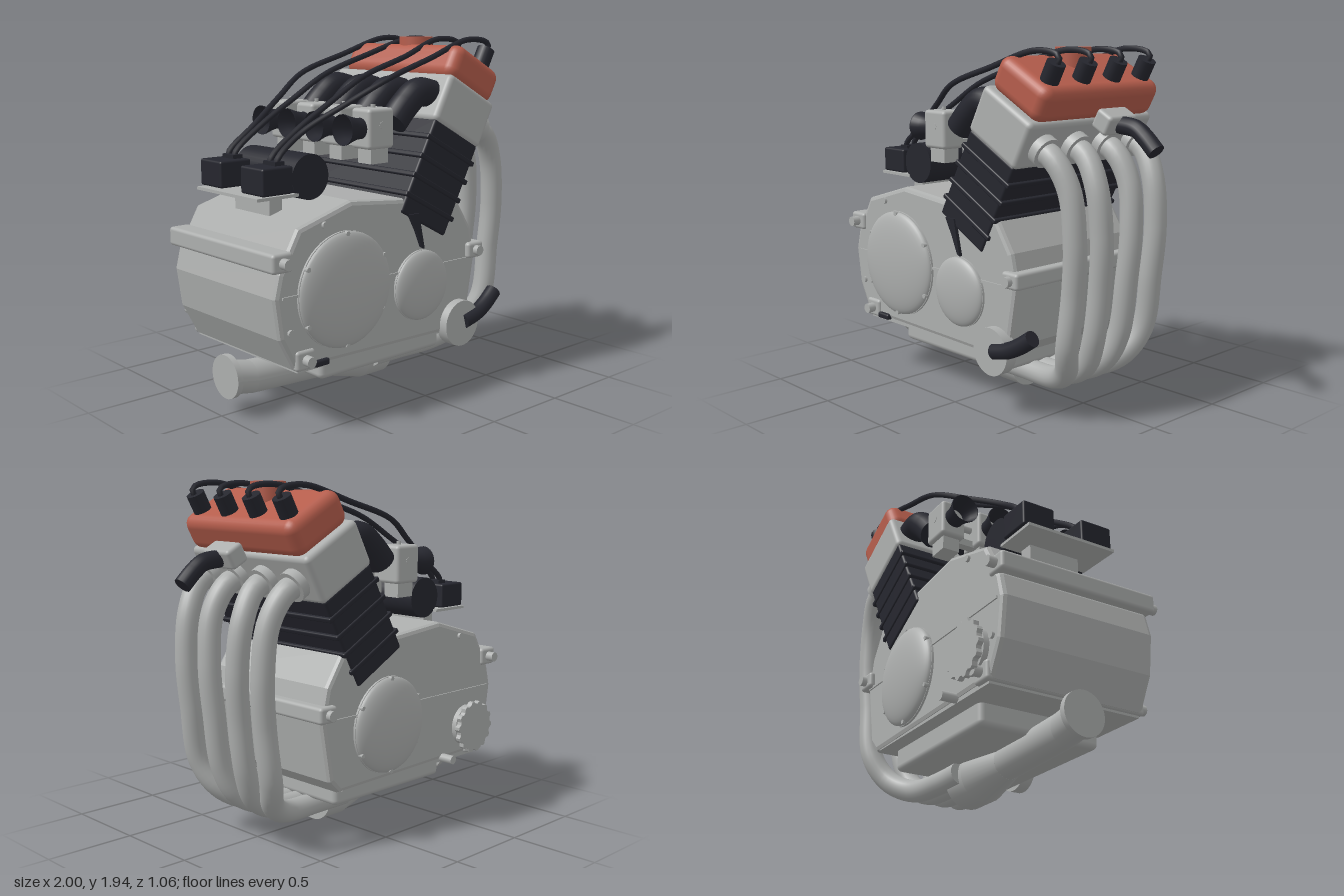
import * as THREE from 'three';
import { RoundedBoxGeometry } from 'three/addons/geometries/RoundedBoxGeometry.js';

const mat = (name, color, side = THREE.FrontSide) =>
  Object.assign(new THREE.MeshStandardMaterial({ color, side }), { name });

export function createModel() {
  const metal = mat('cast metal', 0xadafae);
  const black = mat('black rubber', 0x25262e, THREE.DoubleSide);
  const red = mat('red paint', 0xb55d4c);
  const engine = new THREE.Group();
  engine.name = 'engine';
  const V = (x, y, z) => new THREE.Vector3(x, y, z);

  const add = (name, geo, material, x = 0, y = 0, z = 0, parent = engine) => {
    const m = new THREE.Mesh(geo, material);
    m.name = name;
    m.position.set(x, y, z);
    parent.add(m);
    return m;
  };
  const box = (w, h, d, r = 0) => r ? new RoundedBoxGeometry(w, h, d, 3, r) : new THREE.BoxGeometry(w, h, d);
  const cylZ = (r, len, n = 24) => new THREE.CylinderGeometry(r, r, len, n).rotateX(Math.PI / 2);
  // Tube through points with flat end caps
  const hose = (name, pts, r, material, n = 32, sides = 14) => {
    const curve = new THREE.CatmullRomCurve3(pts, false, 'centripetal');
    add(name, new THREE.TubeGeometry(curve, n, r, sides), material);
    for (const t of [0, 1]) {
      const p = curve.getPoint(t);
      const cap = add(name + 'End', new THREE.CircleGeometry(r, sides), material, p.x, p.y, p.z);
      cap.lookAt(p.clone().addScaledVector(curve.getTangent(t), t ? 1 : -1));
    }
  };
  const extrude = (pts, depth, bevel) => new THREE.ExtrudeGeometry(
    new THREE.Shape(pts.map(p => new THREE.Vector2(...p))),
    { depth: depth - 2 * bevel, bevelEnabled: bevel > 0, bevelSize: bevel, bevelThickness: bevel, bevelOffset: -bevel, bevelSegments: 2 }
  ).translate(0, 0, bevel - depth / 2);

  // Crankcase with seam and oil pan
  add('crankcase', extrude([[-0.49, 1.14], [-0.83, 1.04], [-0.95, 0.83], [-0.98, 0.71], [-0.95, 0.5], [-0.86, 0.33],
    [0.31, 0.31], [0.38, 0.38], [0.44, 0.72], [0.4, 0.89], [0.28, 1.07]], 0.9, 0.025), metal);
  add('caseSeam', box(1.35, 0.014, 0.915), metal, -0.26, 0.71, 0);
  add('caseLip', box(1.12, 0.03, 0.88), metal, -0.28, 0.325, 0);
  add('oilPan', box(0.87, 0.18, 0.71, 0.03), metal, -0.185, 0.285, 0);

  // Domed side covers with rim bolts
  const dome = (name, x, y, r, depth, s, bolts) => {
    add(name + 'Rim', cylZ(r, 0.02, 48), metal, x, y, s * 0.452);
    add(name, new THREE.SphereGeometry(r * 0.99, 48, 12, 0, Math.PI * 2, 0, Math.PI / 2)
      .rotateX(s * Math.PI / 2).scale(1, 1, depth / r), metal, x, y, s * 0.46);
    for (let i = 0; i < bolts; i++) {
      const a = (i + 0.5) * Math.PI * 2 / bolts;
      add(name + 'Bolt', cylZ(0.013, 0.03, 8), metal, x + Math.cos(a) * r * 0.96, y + Math.sin(a) * r * 0.96, s * 0.468);
    }
  };
  dome('clutchCover', -0.54, 0.69, 0.305, 0.062, 1, 6);
  dome('timingCover', 0, 0.62, 0.195, 0.05, 1, 0);
  dome('alternatorCover', -0.06, 0.62, 0.27, 0.068, -1, 6);
  for (const [x, y] of [[-0.67, 1.04], [-0.89, 0.53]])
    add('caseBolt', cylZ(0.018, 0.93, 12), metal, x, y, 0);

  // Drive sprocket and shafts at the rear side
  const teeth = [];
  for (let i = 0; i < 56; i++) {
    const a = i * Math.PI / 28, r = i % 4 < 2 ? 0.152 : 0.137;
    teeth.push([Math.cos(a) * r, Math.sin(a) * r]);
  }
  add('sprocket', extrude(teeth, 0.03, 0), metal, -0.74, 0.5, -0.515);
  add('sprocketShaft', cylZ(0.05, 0.12), metal, -0.74, 0.5, -0.47);
  add('sprocketPlate', cylZ(0.12, 0.03), metal, -0.74, 0.5, -0.465);
  add('shiftShaft', cylZ(0.025, 0.14, 12), metal, -0.54, 0.335, -0.46);

  // Mounting bars across the case
  for (const [x, y, w, h, len] of [[-0.935, 0.888, 0.125, 0.1, 0.93], [0.415, 0.755, 0.12, 0.09, 0.96], [-0.8, 0.375, 0.12, 0.105, 0.93]]) {
    add('mountBar', box(w, h, len, 0.018), metal, x, y, 0);
    add('mountBolt', cylZ(0.028, 1.02, 14), metal, x, y, 0);
  }

  // Water pump and hose
  add('waterPump', cylZ(0.13, 0.07, 40), metal, 0.29, 0.355, 0.465);
  hose('pumpHose', [V(0.31, 0.36, 0.485), V(0.42, 0.39, 0.485), V(0.5, 0.43, 0.48), V(0.58, 0.485, 0.47)], 0.045, black);
  add('drainPlug', box(0.1, 0.035, 0.08, 0.012), black, -0.7, 0.34, 0.43);
  add('gusset', extrude([[-0.1, 1.02], [-0.03, 1.02], [0.015, 0.82], [-0.005, 0.83], [-0.05, 0.93]], 0.02, 0), black, 0, 0, 0.46);

  // Tilted cylinder bank
  const bank = new THREE.Group();
  bank.name = 'cylinderBank';
  bank.position.set(0.015, 0.955, 0);
  bank.rotation.z = -0.49;
  engine.add(bank);
  add('cylinderBlock', box(0.375, 0.54, 0.92, 0.015), black, 0, 0.265, 0, bank);
  for (let i = 0; i < 4; i++)
    add('coolingFin', box(0.41, 0.028, 0.935, 0.008), black, 0, 0.1 + i * 0.11, 0, bank);
  add('cylinderHead', box(0.4, 0.275, 0.935, 0.03), metal, 0, 0.66, 0, bank);
  add('valveCover', box(0.395, 0.2, 0.88, 0.06), red, 0.005, 0.885, 0, bank);
  add('oilCap', new THREE.CylinderGeometry(0.095, 0.095, 0.16, 32), red, 0.4, 1.855, 0);

  // Coolant outlet
  add('outletFitting', box(0.11, 0.11, 0.21, 0.02), metal, 0.695, 1.565, 0).rotation.z = -0.49;
  hose('outletHose', [V(0.73, 1.55, 0), V(0.84, 1.535, 0), V(0.9, 1.495, 0), V(0.97, 1.43, 0)], 0.046, black);

  // One intake, plug, lead and exhaust header per cylinder
  const bellProfile = [[0.055, 0], [0.055, 0.04], [0.064, 0.08], [0.08, 0.125], [0.08, 0.135]]
    .map(p => new THREE.Vector2(...p));
  for (const s of [1, -1]) for (const outer of [true, false]) {
    const z = s * (outer ? 0.345 : 0.115);
    // Throttle body, trumpet and rubber boot
    add('throttleBody', box(0.175, 0.21, 0.145, 0.02), metal, -0.252, 1.482, z);
    add('throttleBase', box(0.12, 0.09, 0.1), metal, -0.25, 1.345, z);
    add('throttleScrew', new THREE.CylinderGeometry(0.012, 0.012, 0.03, 10), metal, -0.25, 1.59, z);
    add('intakeTrumpet', new THREE.LatheGeometry(bellProfile, 28).rotateZ(Math.PI / 2), black, -0.325, 1.485, z);
    hose('intakeBoot', [V(-0.11, 1.5, z), V(-0.02, 1.59, z), V(0.07, 1.65, z), V(0.2, 1.63, z)], 0.078, black, 24, 20);

    // Spark plug cap and lead
    const cap = add('plugCap', new THREE.CylinderGeometry(0.05, 0.05, 0.13, 16), black, 0.585, 1.81, z);
    cap.rotation.z = -0.49;
    const z0 = s * (outer ? 0.21 : 0.155), z1 = s * (outer ? 0.365 : 0.16);
    hose('plugLead', [V(-0.78, 1.3, z0), V(-0.77, 1.35, z0), V(-0.61, 1.475, z0), V(-0.38, 1.61, (z0 + z1) / 2), V(-0.15, 1.735, z1),
      V(0.15, 1.83, z1), V(0.46, 1.922, z), V(0.62, 1.905, z), V(0.635, 1.88, z), V(0.605, 1.84, z)], 0.016, black, 60, 8);

    // Exhaust header
    const flange = add('exhaustFlange', new THREE.CylinderGeometry(0.085, 0.085, 0.05, 28), metal, 0.535, 1.425, z);
    flange.rotation.z = -0.49 - Math.PI / 2;
    const k = outer ? 0.3 : 0.1;
    hose('exhaustHeader', [V(0.48, 1.44, z), V(0.6, 1.39, z), V(0.69, 1.24, s * (k + 0.025)), V(0.722, 0.98, s * (k + 0.015)),
      V(0.705, 0.72, s * (k + 0.005)), V(0.66, 0.41, s * k), V(0.58, 0.25, s * k * 0.75), V(0.42, 0.165, s * k * 0.5),
      V(0.15, 0.15, s * k * 0.4), V(-0.05, 0.15, s * k * 0.4)], 0.062, metal, 56, 18);
  }
  add('throttleShaft', cylZ(0.02, 0.84, 12), metal, -0.25, 1.5, 0);
  add('fuelRail', box(0.05, 0.04, 0.8), metal, -0.25, 1.4, 0);

  // Exhaust collector and outlet pipe: circles swept along x
  const duct = (name, x0, y0, r0, x1, y1, r1) => {
    const g = new THREE.CylinderGeometry(r0, r1, x0 - x1, 32).rotateZ(-Math.PI / 2);
    const p = g.attributes.position;
    for (let i = 0; i < p.count; i++)
      p.setY(i, p.getY(i) + (p.getX(i) > 0 ? y0 : y1));
    g.computeVertexNormals();
    add(name, g, metal, (x0 + x1) / 2, 0, 0);
  };
  duct('collectorMouth', 0.08, 0.14, 0.14, -0.08, 0.14, 0.14);
  duct('collector', -0.08, 0.14, 0.14, -0.32, 0.15, 0.088);
  duct('outletPipe', -0.31, 0.15, 0.088, -0.82, 0.175, 0.09);
  duct('outletFlare', -0.82, 0.175, 0.09, -0.95, 0.2, 0.092);
  duct('outletFlange', -0.94, 0.207, 0.118, -0.972, 0.207, 0.118);

  // Ignition coils, starter motor and their tray
  add('coilTray', box(0.26, 0.016, 0.53), metal, -0.81, 1.167, 0);
  add('trayPost', box(0.08, 0.14, 0.3), metal, -0.74, 1.1, 0);
  add('starterMotor', cylZ(0.118, 0.5, 36), black, -0.6, 1.25, 0.01);
  for (const s of [1, -1]) {
    add('ignitionCoil', box(0.19, 0.14, 0.19, 0.012), black, -0.815, 1.25, s * 0.18);
    add('coilTower', box(0.06, 0.05, 0.1), black, -0.77, 1.315, s * 0.18);
  }
  return engine;
}
